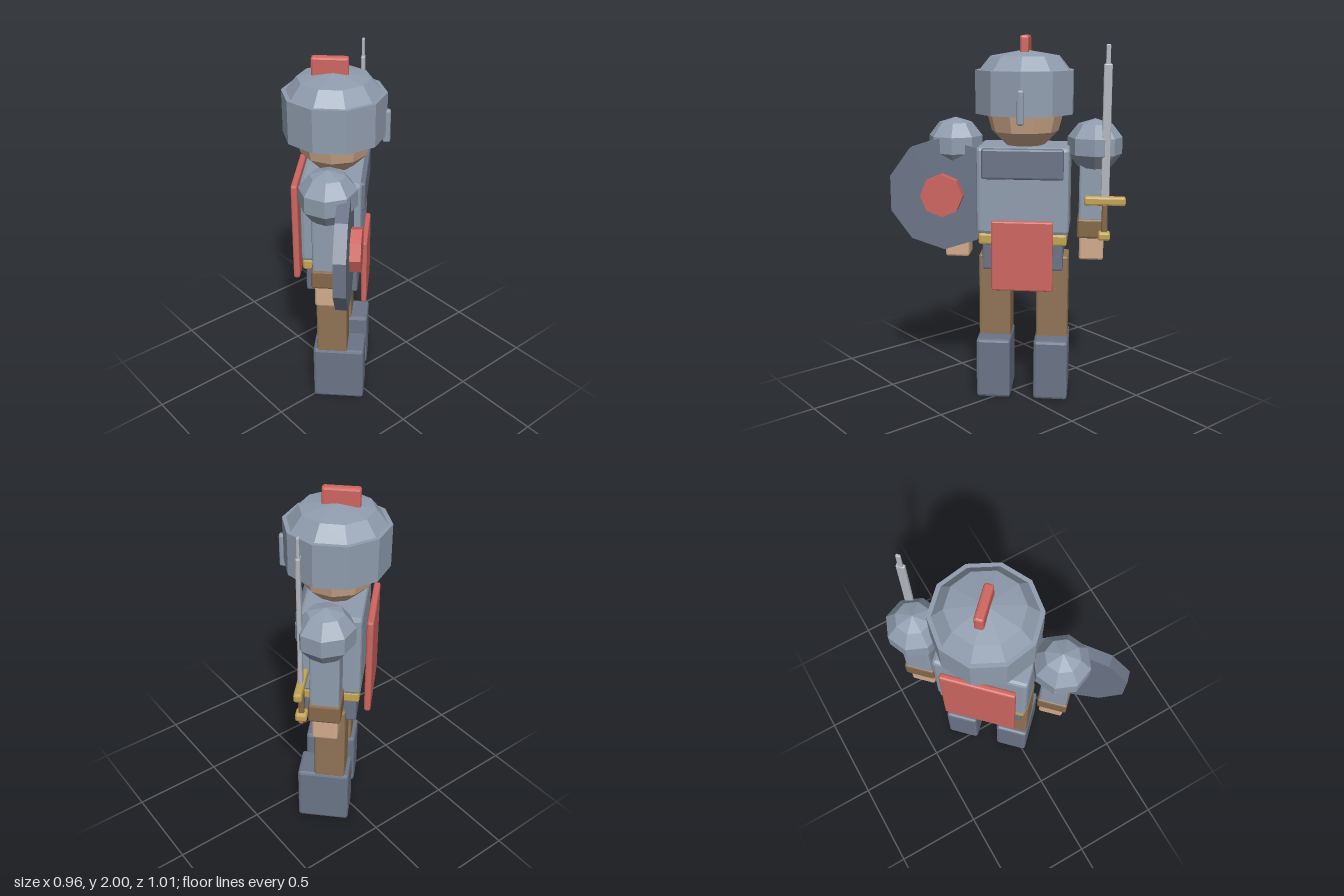
import * as THREE from 'three';
import { RoundedBoxGeometry } from 'three/addons/geometries/RoundedBoxGeometry.js';

const mat = (name, color) => new THREE.MeshStandardMaterial({ name, color, flatShading: true });

export function createModel() {
  const steel = mat('steel', 0x909dae);
  const slate = mat('slate', 0x6b7587);
  const brown = mat('trouserBrown', 0x907456);
  const leather = mat('leather', 0x86684a);
  const skin = mat('skin', 0xd2ac8e);
  const red = mat('red', 0xcf6660);
  const gold = mat('gold', 0xc4a557);
  const silver = mat('bladeSilver', 0xb4b9c0);

  const body = new THREE.Group();
  body.name = 'soldier';

  const add = (name, geometry, material, x, y, z) => {
    const mesh = new THREE.Mesh(geometry, material);
    mesh.name = name;
    mesh.position.set(x, y, z);
    body.add(mesh);
    return mesh;
  };
  // Chamfered box given by its bottom and top heights
  const box = (name, material, w, d, y0, y1, x = 0, z = 0, bevel = 0.012) => {
    const r = Math.min(bevel, w * 0.3, d * 0.3, (y1 - y0) * 0.3);
    return add(name, new RoundedBoxGeometry(w, y1 - y0, d, 1, r), material, x, (y0 + y1) / 2, z);
  };
  // Disc facing forward
  const disc = (name, material, r, sides, x, y, z0, z1) => {
    const g = new THREE.CylinderGeometry(r, r, z1 - z0, sides).rotateX(Math.PI / 2);
    return add(name, g, material, x, y, (z0 + z1) / 2);
  };

  // Trunk
  box('torso', steel, 0.5, 0.32, 0.945, 1.42, 0, 0, 0.02);
  box('chestPlate', slate, 0.44, 0.04, 1.25, 1.415, 0, 0.158);
  box('belt', gold, 0.48, 0.31, 0.885, 0.95);
  box('skirt', slate, 0.44, 0.28, 0.74, 0.9);
  box('tabard', red, 0.335, 0.03, 0.635, 1.025, 0, 0.172);
  box('cape', red, 0.4, 0.035, 0.8, 1.37, 0, -0.195);

  // Limbs, mirrored
  for (const [side, s] of [['left', 1], ['right', -1]]) {
    box(side + 'Leg', brown, 0.177, 0.17, 0.3, 0.812, s * 0.16);
    box(side + 'Boot', slate, 0.19, 0.29, 0, 0.345, s * 0.16, 0.036, 0.016);
    box(side + 'Arm', steel, 0.15, 0.15, 0.98, 1.42, s * 0.375);
    box(side + 'Cuff', leather, 0.166, 0.166, 0.915, 1.025, s * 0.375);
    box(side + 'Hand', skin, 0.134, 0.134, 0.79, 0.93, s * 0.372);
    add(side + 'Pauldron', new THREE.SphereGeometry(0.155, 8, 5), steel, s * 0.38, 1.42, 0.003)
      .scale.y = 0.93;
  }

  // Head and helmet
  add('neck', new THREE.CylinderGeometry(0.09, 0.09, 0.1, 10), skin, 0, 1.43, 0);
  add('head', new THREE.SphereGeometry(0.21, 10, 6), skin, 0, 1.6, 0);
  const profile = [[0.2, 1.6], [0.24, 1.59], [0.272, 1.59], [0.272, 1.82], [0.25, 1.82], [0.19, 1.893], [0, 1.925]];
  const helmet = new THREE.LatheGeometry(profile.map(p => new THREE.Vector2(...p)), 10);
  add('helmet', helmet, steel, 0, 0, 0);
  box('noseGuard', steel, 0.036, 0.04, 1.55, 1.73, 0, 0.27);
  box('crest', red, 0.047, 0.19, 1.87, 2, 0, -0.02);

  // Shield on the right arm
  disc('shield', slate, 0.31, 10, -0.432, 1.155, 0.058, 0.122);
  disc('shieldBoss', red, 0.116, 8, -0.436, 1.155, 0.12, 0.178);

  // Sword in the left hand
  const sx = 0.44, sz = 0.117;
  box('swordPommel', gold, 0.065, 0.06, 0.92, 0.967, sx, sz);
  box('swordGrip', leather, 0.03, 0.03, 0.95, 1.12, sx, sz);
  box('swordGuard', gold, 0.222, 0.042, 1.11, 1.16, sx, sz);
  box('swordBlade', silver, 0.045, 0.022, 1.15, 1.857, sx, sz);
  box('swordTip', silver, 0.024, 0.015, 1.84, 1.955, sx, sz);

  // The whole figure stands turned by an eighth of a circle
  body.position.set(0.06, 0, -0.071);
  const turn = new THREE.Group();
  turn.name = 'turnedFigure';
  turn.rotation.y = Math.PI / 4;
  turn.add(body);
  const model = new THREE.Group();
  model.name = 'model';
  model.add(turn);
  return model;
}
